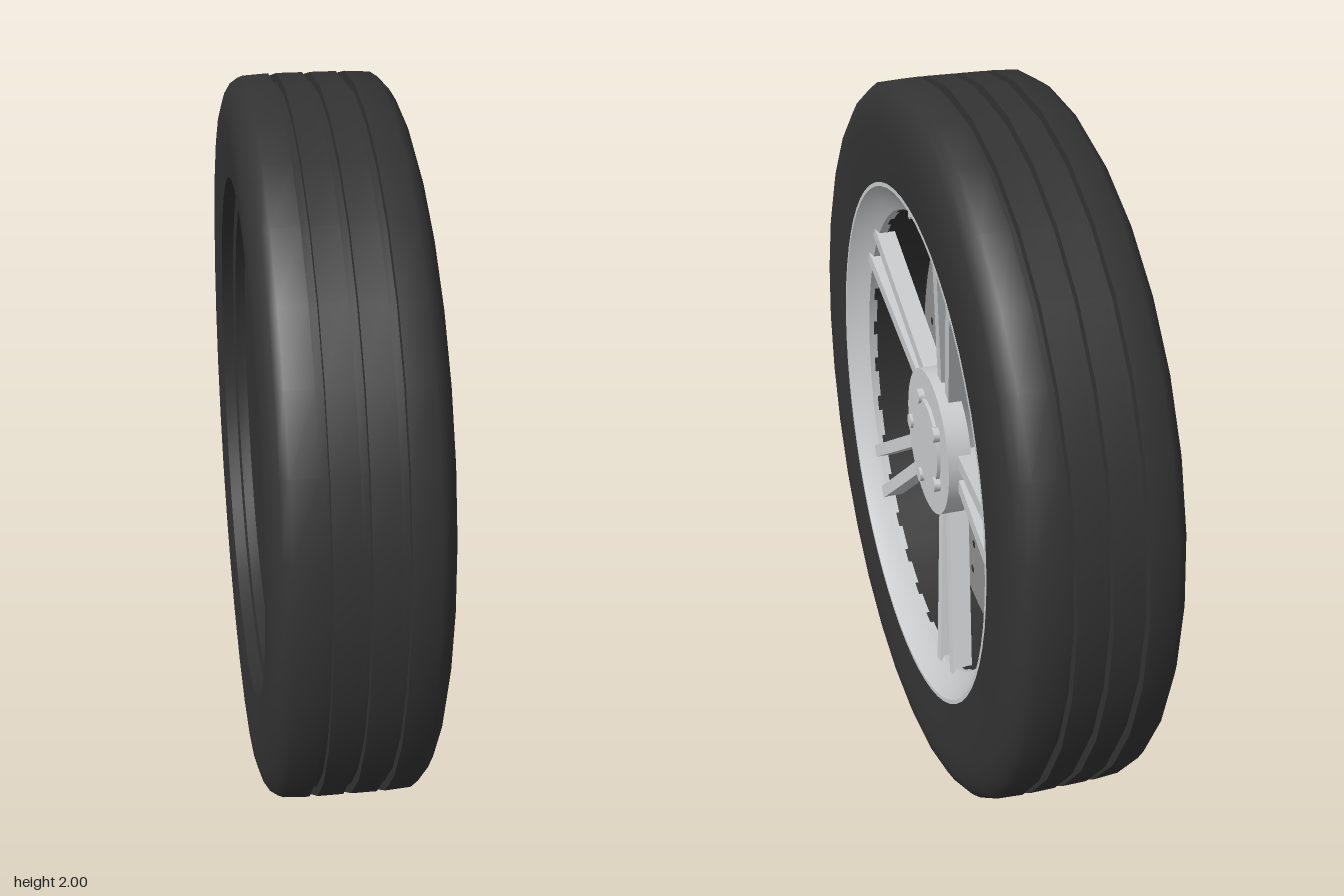
import * as THREE from 'three';
import { toCreasedNormals } from 'three/addons/utils/BufferGeometryUtils.js';

const mat = (name, color, side = THREE.FrontSide) => {
  const m = new THREE.MeshStandardMaterial({ color, side });
  m.name = name;
  return m;
};

export function createModel() {
  const rubber = mat('black rubber', 0x333333);
  const silver = mat('silver alloy', 0xc9cbcc);
  const steel = mat('brake steel', 0x8f8f91);

  // The wheel is built with its axle along z, then turned to face +x.
  const wheel = new THREE.Group();
  wheel.name = 'wheel';

  const add = (name, geometry, material, parent = wheel) => {
    const mesh = new THREE.Mesh(geometry, material);
    mesh.name = name;
    parent.add(mesh);
    return mesh;
  };
  // Profile points are [radius, z]
  const lathe = (points, segments) => toCreasedNormals(
    new THREE.LatheGeometry(points.map(([r, z]) => new THREE.Vector2(r, z)), segments)
      .rotateX(Math.PI / 2), 0.6);
  const cylinder = (r, z0, z1, segments) => toCreasedNormals(
    new THREE.CylinderGeometry(r, r, z1 - z0, segments)
      .rotateX(Math.PI / 2).translate(0, 0, (z0 + z1) / 2), 0.6);
  const polar = (object, r, angle, z = 0) =>
    object.position.set(r * Math.cos(angle), r * Math.sin(angle), z);

  // Tyre: rounded shoulders and three tread grooves
  const shoulder = [[0.727, 0.21], [0.8, 0.217], [0.87, 0.222], [0.92, 0.219],
    [0.955, 0.208], [0.982, 0.191], [0.996, 0.17]];
  const tread = [-0.09, 0, 0.09].flatMap((z) =>
    [[1, z - 0.011], [0.975, z - 0.011], [0.975, z + 0.011], [1, z + 0.011]]);
  add('tyre', lathe([
    [0.727, -0.14],
    ...shoulder.map(([r, z]) => [r, -z]),
    ...tread,
    ...shoulder.slice().reverse(),
    [0.727, 0.14],
  ], 32), rubber);

  // Barrel with its closed back plate
  add('barrel', lathe([
    [0, -0.14], [0.69, -0.14], [0.69, -0.17], [0.727, -0.175], [0.727, 0.14],
    [0.652, 0.14], [0.652, -0.08], [0, -0.08],
  ], 32), rubber);

  // Rim lip, sloping in towards the spokes
  add('rim', lathe([
    [0.652, 0.13], [0.727, 0.13], [0.729, 0.211], [0.718, 0.211],
    [0.69, 0.18], [0.65, 0.155], [0.65, 0.13], [0.652, 0.13],
  ], 64), silver);
  const valve = add('valve', cylinder(0.01, 0.15, 0.19, 8), silver);
  polar(valve, 0.675, Math.PI / 2);

  // Brake disc with two rings of drilled holes
  add('brakeDisc', lathe([
    [0.265, -0.06], [0.635, -0.06], [0.635, -0.02], [0.265, -0.02], [0.265, -0.06],
  ], 64), steel);
  const holes = new THREE.Group();
  holes.name = 'discHoles';
  wheel.add(holes);
  const holeGeometry = new THREE.CircleGeometry(0.013, 12);
  for (const [radius, offset] of [[0.545, 2.8], [0.448, 1.8]]) {
    for (let i = 0; i < 24; i++) {
      const hole = add('discHole', holeGeometry, rubber, holes);
      polar(hole, radius, THREE.MathUtils.degToRad(offset + i * 15), -0.017);
    }
  }

  // Five pairs of spokes spreading towards the rim
  const from = new THREE.Vector3(0.16, 0.033, 0.09);
  const to = new THREE.Vector3(0.665, 0.067, 0.138);
  const span = to.clone().sub(from);
  const spokeGeometry = new THREE.BoxGeometry(span.length(), 0.038, 0.055)
    .rotateY(-Math.atan2(span.z, span.x));
  for (let i = 0; i < 5; i++) {
    const pair = new THREE.Group();
    pair.name = 'spokePair';
    pair.rotation.z = (i * 2 * Math.PI) / 5;
    for (const s of [-1, 1]) {
      const spoke = add('spoke', spokeGeometry, silver, pair);
      spoke.position.copy(from).add(to).multiplyScalar(0.5);
      spoke.position.y *= s;
      spoke.rotation.z = s * Math.atan2(span.y, span.x);
    }
    wheel.add(pair);
  }

  // Hub, raised centre cap and five nuts
  add('hub', cylinder(0.208, 0.085, 0.15, 48), silver);
  add('centreCap', cylinder(0.128, 0.15, 0.16, 40), silver);
  const nutGeometry = cylinder(0.021, 0.15, 0.168, 12);
  for (let i = 0; i < 5; i++) {
    const nut = add('wheelNut', nutGeometry, silver);
    polar(nut, 0.132, Math.PI + (i * 2 * Math.PI) / 5);
  }

  wheel.rotation.y = Math.PI / 2;
  wheel.position.y = 1;
  const model = new THREE.Group();
  model.name = 'carWheel';
  model.add(wheel);
  return model;
}
